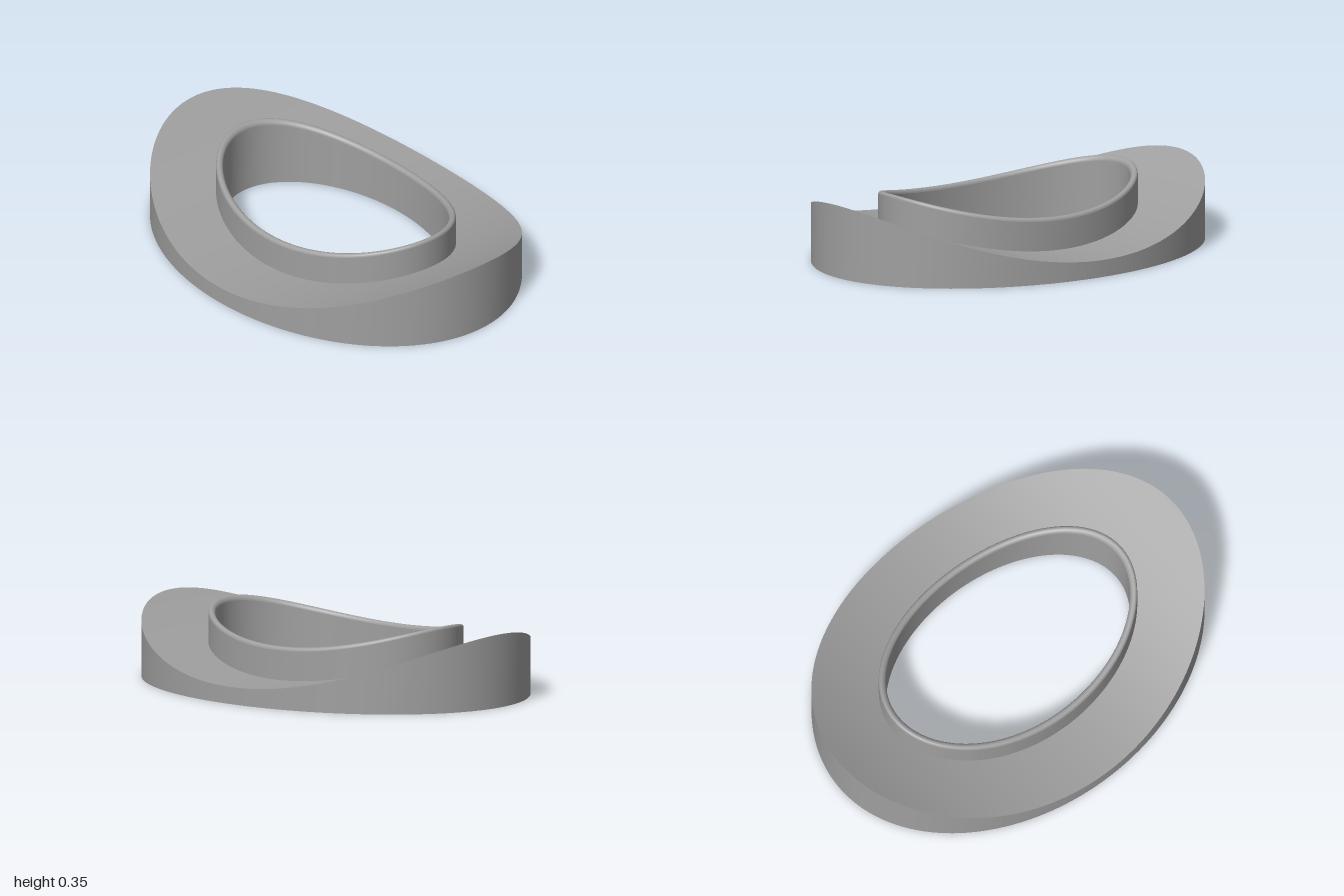
import * as THREE from 'three';

const SEGMENTS = 160;
const ARC_R = 2.04; // radius of the saddle curve across x
const saddle = (x) => 0.08 + ARC_R - Math.sqrt(ARC_R * ARC_R - x * x);

// Joins elliptical rings into a smooth band; each ring is { rx, rz, y(x) }
function band(name, rings, material) {
  const positions = [], index = [];
  for (const { rx, rz, y } of rings) {
    for (let i = 0; i < SEGMENTS; i++) {
      const a = (i / SEGMENTS) * Math.PI * 2;
      const x = rx * Math.cos(a);
      positions.push(x, y(x), rz * Math.sin(a));
    }
  }
  for (let r = 0; r < rings.length - 1; r++) {
    for (let i = 0; i < SEGMENTS; i++) {
      const j = (i + 1) % SEGMENTS;
      const b0 = r * SEGMENTS + i, b1 = r * SEGMENTS + j;
      const t0 = b0 + SEGMENTS, t1 = b1 + SEGMENTS;
      index.push(b0, t0, b1, b1, t0, t1);
    }
  }
  const geometry = new THREE.BufferGeometry();
  geometry.setAttribute('position', new THREE.Float32BufferAttribute(positions, 3));
  geometry.setIndex(index);
  geometry.computeVertexNormals();
  const mesh = new THREE.Mesh(geometry, material);
  mesh.name = name;
  return mesh;
}

export function createModel() {
  const grey = new THREE.MeshStandardMaterial({ color: 0x9f9f9f });
  grey.name = 'grey';

  const model = new THREE.Group();
  model.name = 'saddleRing';

  const floor = () => 0;
  const outer = { rx: 1, rz: 0.74 };
  const collarOuter = { rx: 0.677, rz: 0.445 };
  const collarInner = { rx: 0.643, rz: 0.411 };
  const lipRadius = 0.017, lipHeight = 0.155;
  const lipBase = (x) => saddle(x) + lipHeight - lipRadius;

  // Base: outer wall, curved top and flat underside
  const base = new THREE.Group();
  base.name = 'base';
  const topRings = [];
  for (let i = 0; i <= 10; i++) {
    const t = i / 10;
    topRings.push({
      rx: THREE.MathUtils.lerp(outer.rx, collarOuter.rx, t),
      rz: THREE.MathUtils.lerp(outer.rz, collarOuter.rz, t),
      y: saddle,
    });
  }
  base.add(
    band('baseWall', [{ ...outer, y: floor }, { ...outer, y: saddle }], grey),
    band('baseTop', topRings, grey),
    band('baseUnderside', [{ ...collarInner, y: floor }, { ...outer, y: floor }], grey),
  );

  // Collar: raised wall with a rounded lip and an open bore
  const collar = new THREE.Group();
  collar.name = 'collar';
  const lipRings = [];
  for (let i = 0; i <= 10; i++) {
    const a = (i / 10) * Math.PI;
    const offset = lipRadius * Math.cos(a);
    lipRings.push({
      rx: 0.66 + offset,
      rz: 0.428 + offset,
      y: (x) => lipBase(x) + lipRadius * Math.sin(a),
    });
  }
  collar.add(
    band('collarWall', [{ ...collarOuter, y: saddle }, { ...collarOuter, y: lipBase }], grey),
    band('collarLip', lipRings, grey),
    band('bore', [{ ...collarInner, y: lipBase }, { ...collarInner, y: floor }], grey),
  );

  model.add(base, collar);
  return model;
}
